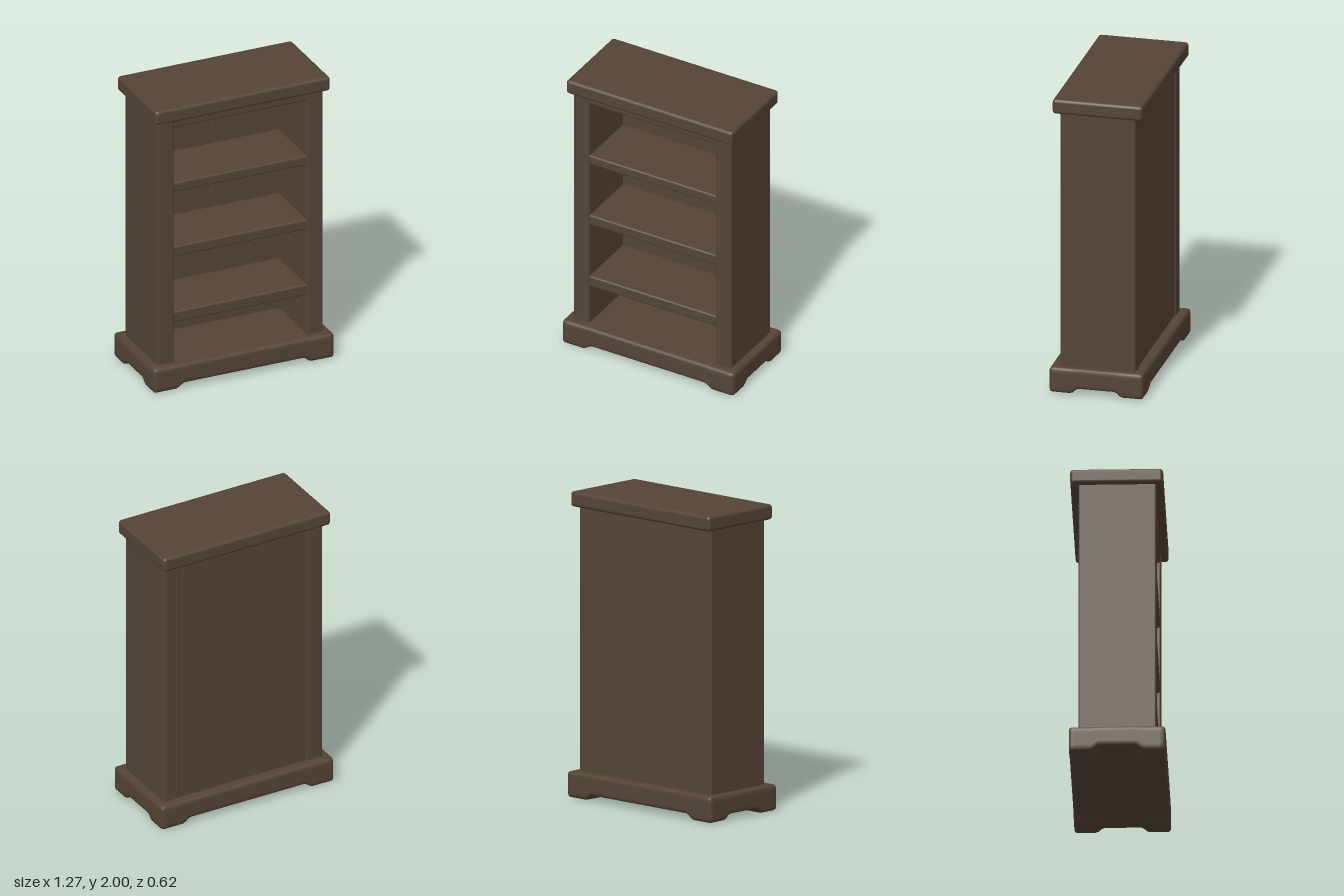
import * as THREE from 'three';
import { RoundedBoxGeometry } from 'three/addons/geometries/RoundedBoxGeometry.js';
import { mergeVertices } from 'three/addons/utils/BufferGeometryUtils.js';

const wood = new THREE.MeshStandardMaterial({ color: 0x554436 });
wood.name = 'dark brown wood';

// Softly rounded board given by its limits on each axis
function board(name, [x0, x1], [y0, y1], [z0, z1], r) {
  const mesh = new THREE.Mesh(new RoundedBoxGeometry(x1 - x0, y1 - y0, z1 - z0, 3, r), wood);
  mesh.position.set((x0 + x1) / 2, (y0 + y1) / 2, (z0 + z1) / 2);
  mesh.name = name;
  return mesh;
}

// Rounded plinth whose underside is raised between four corner feet
function plinthGeometry(w, h, d, r, rise) {
  let geo = new THREE.BoxGeometry(w, h, d, 64, 8, 32);
  geo.deleteAttribute('uv');
  geo.deleteAttribute('normal');
  geo = mergeVertices(geo);
  const pos = geo.attributes.position;
  const half = new THREE.Vector3(w / 2, h / 2, d / 2);
  const inner = half.clone().subScalar(r);
  const p = new THREE.Vector3(), core = new THREE.Vector3();
  const { smoothstep } = THREE.MathUtils;
  for (let i = 0; i < pos.count; i++) {
    p.fromBufferAttribute(pos, i);
    core.copy(p).clamp(inner.clone().negate(), inner);
    const out = p.clone().sub(core);
    if (out.lengthSq() > 1e-10) p.copy(core).add(out.setLength(r));
    // Feet fill only the corners, with a soft cove at each side
    const foot = smoothstep(Math.abs(p.x), 0.42, 0.48) * smoothstep(Math.abs(p.z), 0.12, 0.17);
    p.y += rise * (1 - foot) * (half.y - p.y) / h;
    pos.setXYZ(i, p.x, p.y + half.y, p.z);
  }
  geo.computeVertexNormals();
  return geo;
}

export function createModel() {
  const group = new THREE.Group();
  group.name = 'bookcase';

  const plinth = new THREE.Mesh(plinthGeometry(1.275, 0.17, 0.62, 0.02, 0.035), wood);
  plinth.name = 'plinth';
  group.add(plinth);
  group.add(board('top', [-0.618, 0.618], [1.9, 2], [-0.302, 0.294], 0.022));

  // Side walls
  for (const s of [-1, 1]) {
    const xs = s < 0 ? [-0.586, -0.47] : [0.47, 0.586];
    group.add(board(s < 0 ? 'rightSide' : 'leftSide', xs, [0.15, 1.92], [-0.25, 0.25], 0.012));
  }

  // Shelves and the rail under the top
  const shelves = [[0.445, 0.525], [0.915, 0.99], [1.375, 1.445]];
  shelves.forEach((ys, i) => group.add(board('shelf' + (i + 1), [-0.485, 0.485], ys, [-0.22, 0.243], 0.014)));
  group.add(board('topRail', [-0.485, 0.485], [1.835, 1.92], [-0.22, 0.243], 0.014));

  // Back made of upright planks
  const count = 4, width = 0.96 / count;
  for (let i = 0; i < count; i++) {
    const x = -0.48 + i * width;
    group.add(board('backPlank' + (i + 1), [x - 0.002, x + width + 0.002], [0.15, 1.92], [-0.242, -0.18], 0.005));
  }
  return group;
}
